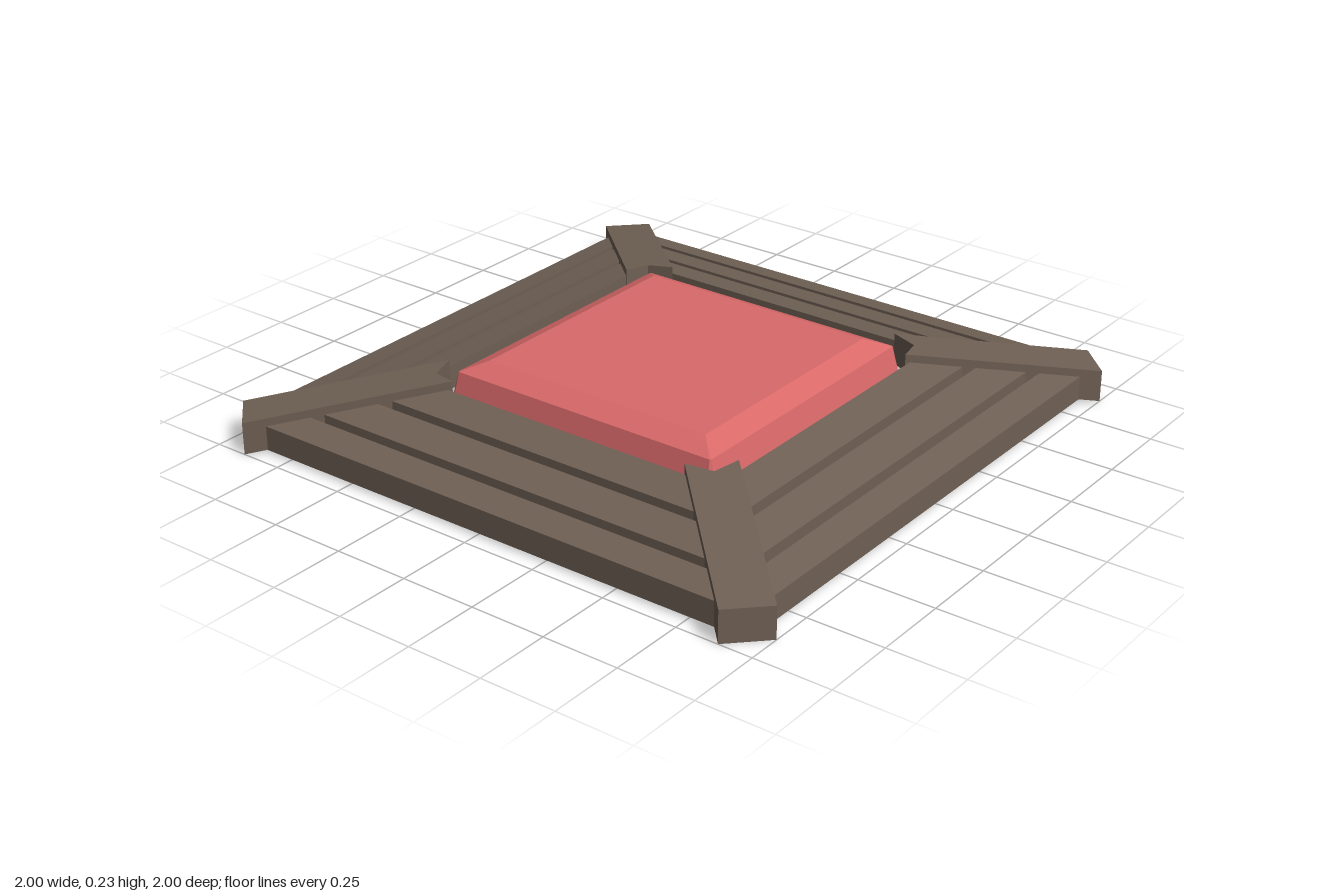
import * as THREE from 'three';

const wood = new THREE.MeshStandardMaterial({ color: 0x6f6054 });
wood.name = 'weathered brown';
const red = new THREE.MeshStandardMaterial({ color: 0xd96969, side: THREE.DoubleSide });
red.name = 'soft red';

// Plank with a plan outline of [sideways, outward] points, sheared to rise towards the centre
function slopedPlank(name, outline, thickness, outer, baseY, slope) {
  const shape = new THREE.Shape(outline.map(([s, r]) => new THREE.Vector2(s, -r)));
  const geo = new THREE.ExtrudeGeometry(shape, { depth: thickness, bevelEnabled: false });
  geo.rotateX(-Math.PI / 2);
  const p = geo.attributes.position;
  for (let i = 0; i < p.count; i++) {
    p.setY(i, p.getY(i) + baseY + slope * (outer - p.getZ(i)));
  }
  geo.computeVertexNormals();
  const mesh = new THREE.Mesh(geo, wood);
  mesh.name = name;
  return mesh;
}

// Hollow button, open below, from square rings: [half width, height, corner cut]
function buttonGeometry(rings) {
  const pos = [], index = [];
  for (const [h, y, c] of rings) {
    for (let k = 0; k < 4; k++) {
      for (const [u, v] of [[h, h - c], [h - c, h]]) {
        const [x, w] = [[u, v], [-v, u], [-u, -v], [v, -u]][k];
        pos.push(x, y, -w);
      }
    }
  }
  for (let r = 0; r < rings.length - 1; r++) {
    for (let i = 0; i < 8; i++) {
      const a = r * 8 + i, b = r * 8 + (i + 1) % 8;
      index.push(a, b, b + 8, a, b + 8, a + 8);
    }
  }
  const top = (rings.length - 1) * 8;
  for (let i = 1; i < 7; i++) index.push(top, top + i, top + i + 1);
  const geo = new THREE.BufferGeometry();
  geo.setAttribute('position', new THREE.Float32BufferAttribute(pos, 3));
  geo.setIndex(index);
  const flat = geo.toNonIndexed();
  flat.computeVertexNormals();
  return flat;
}

export function createModel() {
  const model = new THREE.Group();
  model.name = 'floorButton';

  // Three rows of sloped slats on each side: [inner, outer] distance from the centre
  const rows = [[0.855, 0.95], [0.71, 0.825], [0.56, 0.68]];
  const slope = 0.22;
  for (let side = 0; side < 4; side++) {
    const panel = new THREE.Group();
    panel.name = 'slatPanel';
    for (const [inner, outer] of rows) {
      const a = inner - 0.06, b = outer - 0.06;
      panel.add(slopedPlank('slat', [[-b, outer], [b, outer], [a, inner], [-a, inner]],
        0.08, 0.95, 0.01, slope));
    }
    panel.rotation.y = side * Math.PI / 2;
    model.add(panel);
  }

  // Diagonal beams, notched at the inner end around the button's corners
  const R = 1.336, w = 0.078, inner = 0.70;
  for (let corner = 0; corner < 4; corner++) {
    const beam = slopedPlank('cornerBeam',
      [[-w, R], [w, R], [w, inner], [0, inner + 0.045], [-w, inner]],
      0.105, R, 0, slope / Math.SQRT2);
    beam.rotation.y = Math.PI / 4 + corner * Math.PI / 2;
    model.add(beam);
  }

  // Bevelled button in the middle
  const button = new THREE.Mesh(
    buttonGeometry([[0.525, 0.02, 0.035], [0.48, 0.198, 0.004], [0.41, 0.23, 0.002]]), red);
  button.name = 'button';
  model.add(button);

  return model;
}
